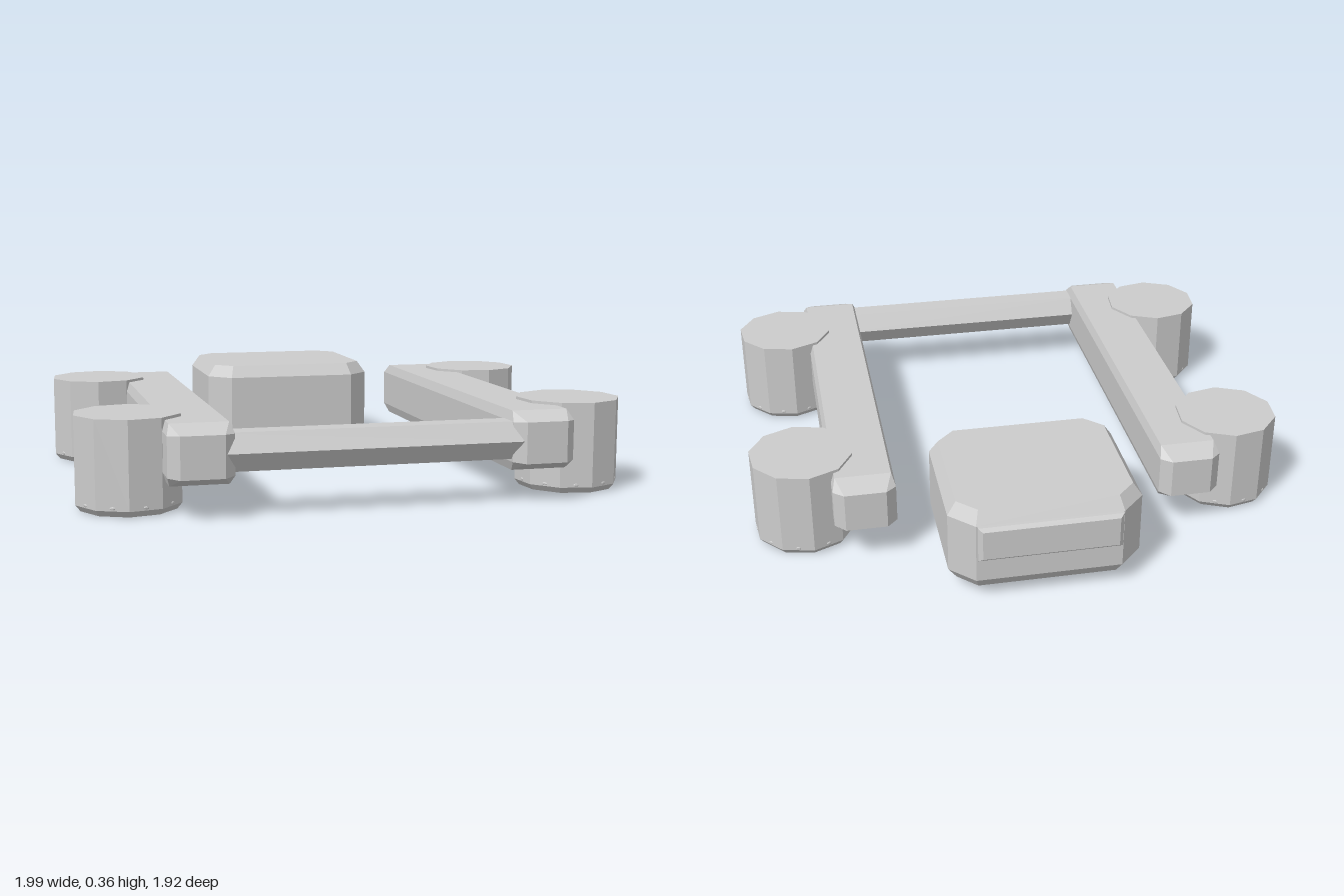
import * as THREE from 'three';
import { ConvexGeometry } from 'three/addons/geometries/ConvexGeometry.js';

const grey = new THREE.MeshStandardMaterial({ color: 0xcccccc });
grey.name = 'grey';

function add(parent, name, geometry, x = 0, y = 0, z = 0) {
  const mesh = new THREE.Mesh(geometry, grey);
  mesh.name = name;
  mesh.position.set(x, y, z);
  parent.add(mesh);
  return mesh;
}

// Faceted normals
function flat(geometry) {
  const g = geometry.index ? geometry.toNonIndexed() : geometry;
  g.computeVertexNormals();
  return g;
}

// Convex solid from points mirrored across all three planes
function mirroredHull(points) {
  const all = [];
  for (const [x, y, z] of points)
    for (const sx of [-1, 1]) for (const sy of [-1, 1]) for (const sz of [-1, 1])
      all.push(new THREE.Vector3(x * sx, y * sy, z * sz));
  return flat(new ConvexGeometry(all));
}

// Ten-sided drum with a bevelled, recessed underside
function drum(side) {
  const profile = [[0, 0.012], [0.135, 0.012], [0.142, 0], [0.172, 0], [0.19, 0.022], [0.19, 0.33], [0, 0.33]]
    .map(([r, y]) => new THREE.Vector2(r, y));
  const phase = -side * Math.PI / 6;
  const group = new THREE.Group();
  add(group, 'drumBody', flat(new THREE.LatheGeometry(profile, 10, phase, Math.PI * 2)));
  // Small studs above the bottom edge, one on each facet
  for (let i = 0; i < 10; i++) {
    const a = phase + (i + 0.5) * Math.PI / 5;
    const stud = add(group, 'stud', flat(new THREE.SphereGeometry(0.01, 6, 4)), Math.sin(a) * 0.181, 0.031, Math.cos(a) * 0.181);
    stud.rotation.y = a;
    stud.scale.set(1, 0.6, 0.3);
  }
  return group;
}

export function createModel() {
  const model = new THREE.Group();
  model.name = 'frame';

  // Side rails with bevelled ends, and two drums on each
  const rail = mirroredHull([[0.113, 0.07, 0.76], [0.101, 0.105, 0.72], [0.075, 0.073, 0.796]]);
  for (const side of [-1, 1]) {
    const name = side > 0 ? 'left' : 'right';
    add(model, name + 'Rail', rail, side * 0.602, 0.215, 0.16);
    for (const [end, z] of [['Back', -0.375], ['Front', 0.65]]) {
      const d = drum(side);
      d.name = name + end + 'Drum';
      d.position.set(side * 0.811, 0, z);
      model.add(d);
    }
  }

  // Hexagonal bar joining the rails at the front
  add(model, 'crossBar', mirroredHull([[0.55, 0.066, 0.04], [0.55, 0, 0.08]]), 0, 0.221, 0.87);

  // Eight-cornered case between the rails at the back
  const corners = [];
  for (const [y, inset] of [[0.04, 0.032], [0.085, 0], [0.31, 0], [0.357, 0.032]]) {
    const w = 0.345 - inset, l = 0.3 - inset, cut = 0.085 - inset * 0.6;
    for (const sx of [-1, 1]) for (const sz of [-1, 1]) {
      corners.push(new THREE.Vector3(sx * w, y, sz * (l - cut)));
      corners.push(new THREE.Vector3(sx * (w - cut), y, sz * l));
    }
  }
  add(model, 'case', flat(new ConvexGeometry(corners)), 0, 0, -0.64);

  // Bevelled panel on the back of the case
  add(model, 'backPanel', mirroredHull([[0.255, 0.067, 0.012], [0.24, 0.055, 0.025]]), 0, 0.243, -0.94);

  return model;
}
